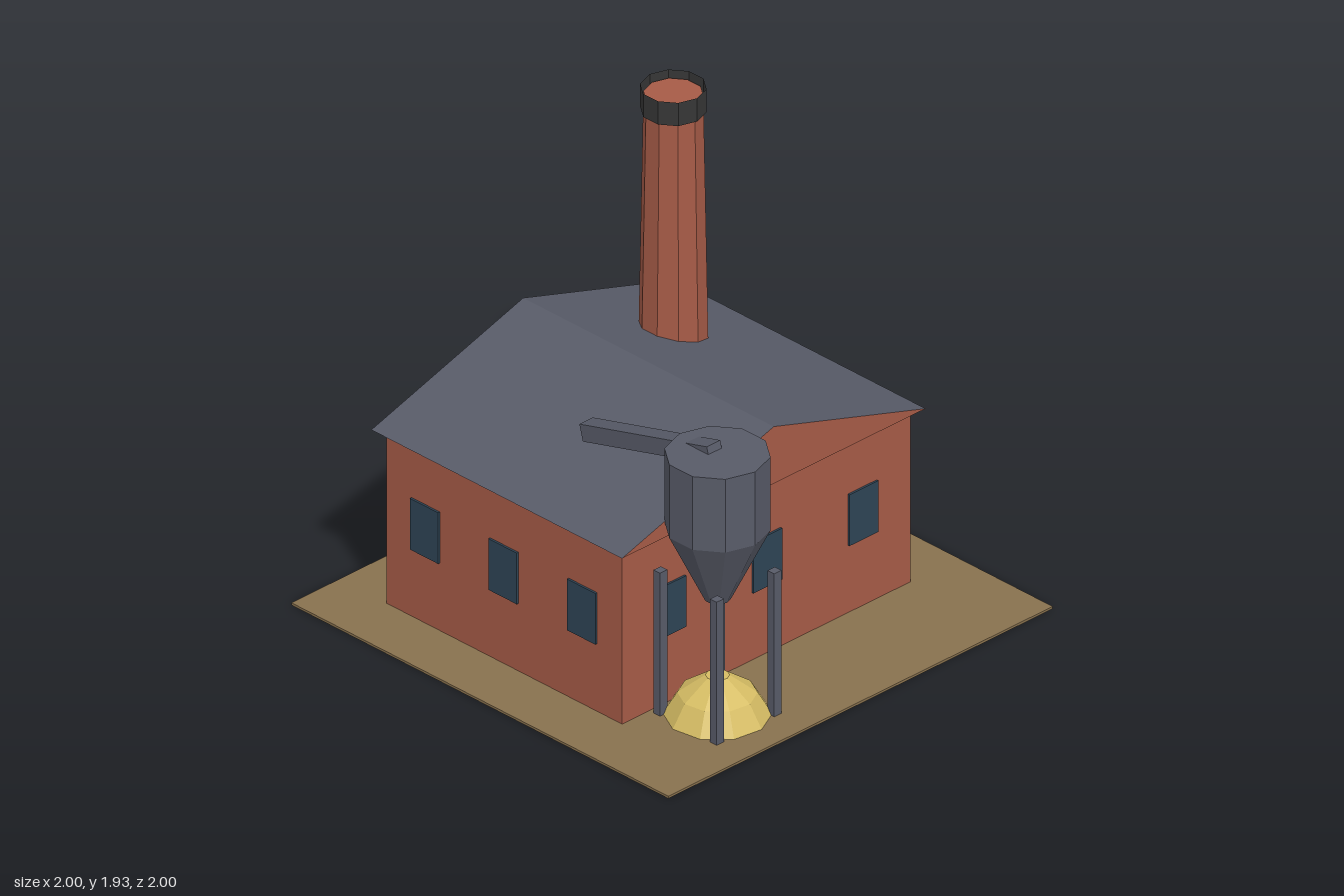
import * as THREE from 'three';

const mat = (name, color, extra = {}) => {
  const m = new THREE.MeshStandardMaterial({ color, flatShading: true, ...extra });
  m.name = name;
  return m;
};

export function createModel() {
  const brick = mat('brick', 0xa65b47);
  const slate = mat('slate', 0x585b68);
  const soot = mat('soot', 0x363636, { side: THREE.DoubleSide });
  const glass = mat('window glass', 0x2e4455);
  const earth = mat('earth', 0x88714e);
  const grain = mat('grain', 0xd6bd64);

  const model = new THREE.Group();
  model.name = 'mill';

  const add = (name, geometry, material, x, y, z, parent = model) => {
    const mesh = new THREE.Mesh(geometry, material);
    mesh.name = name;
    mesh.position.set(x, y, z);
    parent.add(mesh);
    return mesh;
  };
  const box = (w, h, d) => new THREE.BoxGeometry(w, h, d);
  // Ten-sided cylinder or cone section, placed by its bottom and top heights
  const drum = (name, rTop, rBottom, y0, y1, material, x, z, open = false) =>
    add(name, new THREE.CylinderGeometry(rTop, rBottom, y1 - y0, 10, 1, open), material, x, (y0 + y1) / 2, z);

  // Ground and hall
  const midZ = -0.125;
  add('ground', box(2, 0.01, 2), earth, 0, 0.005, 0);
  add('hall', box(1.5, 0.75, 1.25), brick, 0, 0.38, midZ);

  // Roof prism: brick gable ends, slate slopes and underside
  const gable = new THREE.Shape();
  gable.moveTo(-0.79, 0.755);
  gable.lineTo(0.79, 0.755);
  gable.lineTo(0, 1);
  gable.closePath();
  const roof = new THREE.ExtrudeGeometry(gable, { depth: 1.33, bevelEnabled: false });
  add('roof', roof, [brick, slate], 0, 0, -0.79);

  // Three windows on each wall
  const windows = new THREE.Group();
  windows.name = 'windows';
  model.add(windows);
  for (const i of [-1, 0, 1]) {
    for (const s of [-1, 1]) {
      add('endWindow', box(0.15, 0.22, 0.009), glass, i * 0.5, 0.41, midZ + s * 0.6295, windows);
      add('sideWindow', box(0.009, 0.22, 0.15), glass, s * 0.7545, 0.41, midZ + i * 0.417, windows);
    }
  }

  // Chimney with an open sooty collar
  drum('chimney', 0.113, 0.133, 0.77, 1.9, brick, 0.375, -0.375);
  drum('chimneyCollar', 0.125, 0.125, 1.83, 1.93, soot, 0.375, -0.375, true);

  // Silo with hopper and four legs
  const sx = -0.44, sz = 0.69;
  drum('silo', 0.2, 0.2, 0.815, 1.13, slate, sx, sz);
  drum('hopper', 0.2, 0.05, 0.505, 0.815, slate, sx, sz);
  for (const i of [-1, 1])
    for (const k of [-1, 1])
      add('siloLeg', box(0.038, 0.62, 0.035), slate, sx + i * 0.15, 0.315, sz + k * 0.15);

  // Grain heap below the hopper
  const heap = [[0.207, 0.005], [0.15, 0.1], [0.045, 0.175], [0, 0.175]].map(([r, y]) => new THREE.Vector2(r, y));
  add('grainHeap', new THREE.LatheGeometry(heap, 10), grain, sx, 0, sz).rotation.y = 0.16;

  // Sloping conveyor from the roof to the silo top
  add('conveyor', box(0.07, 0.07, 0.7), slate, sx, 1.035, 0.34).rotation.x = -0.265;

  return model;
}
